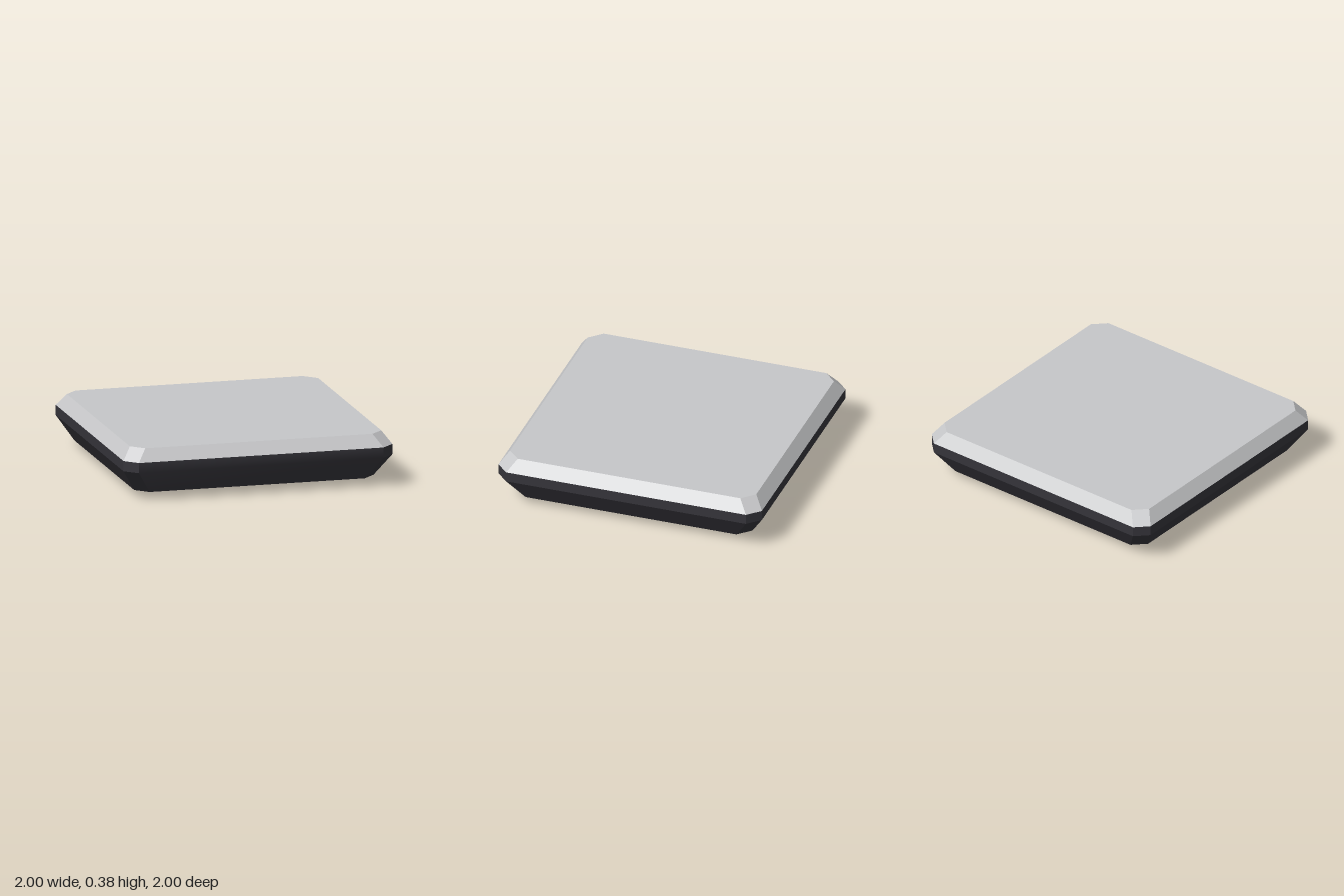
import * as THREE from 'three';

const lightGrey = new THREE.MeshStandardMaterial({ color: 0xc6c7c9 });
lightGrey.name = 'lightGrey';
const darkGrey = new THREE.MeshStandardMaterial({ color: 0x35343a });
darkGrey.name = 'darkGrey';

const CHAMFER = 0.09;
const ALL = [0, 1, 2, 3, 4, 5, 6, 7];
const FRONT = 2;
const SQUARE = [0, 2, 4, 6];

// Square outline of half-width h with cut corners of size c, as [x, z] points.
function outline(h, c) {
  const k = h - c;
  return [[h, -k], [h, k], [k, h], [-k, h], [-h, k], [-h, -k], [-k, -h], [k, -h]];
}

// Skin between rings [y, halfWidth], for the listed sides only.
function loft(rings, c, sides, smooth = false) {
  const pos = [], index = [];
  for (const s of sides) {
    const base = pos.length / 3;
    rings.forEach(([y, h], r) => {
      const pts = outline(h, c);
      for (const [x, z] of [pts[s], pts[(s + 1) % 8]]) pos.push(x, y, z);
      if (r === 0) return;
      const a = base + 2 * (r - 1);
      index.push(a, a + 2, a + 1, a + 1, a + 2, a + 3);
    });
  }
  let geo = new THREE.BufferGeometry();
  geo.setAttribute('position', new THREE.Float32BufferAttribute(pos, 3));
  geo.setIndex(index);
  if (!smooth) geo = geo.toNonIndexed();
  geo.computeVertexNormals();
  return geo;
}

// Horizontal plate facing up or down, with an optional square hole.
function plate(y, h, c, up, hole = 0) {
  const toVectors = (pts) => pts.map(([x, z]) => new THREE.Vector2(x, z));
  const shape = new THREE.Shape(toVectors(c ? outline(h, c) : [[h, -h], [h, h], [-h, h], [-h, -h]]));
  if (hole) {
    shape.holes.push(new THREE.Path(toVectors([[hole, -hole], [-hole, -hole], [-hole, hole], [hole, hole]])));
  }
  return new THREE.ShapeGeometry(shape).rotateX(up ? -Math.PI / 2 : Math.PI / 2).translate(0, y, 0);
}

export function createModel() {
  const model = new THREE.Group();
  model.name = 'chamferedTile';
  const add = (name, geo, material) => {
    const mesh = new THREE.Mesh(geo, material);
    mesh.name = name;
    model.add(mesh);
  };

  // Light cap with a bevelled edge
  add('topPanel', plate(0.385, 0.935, CHAMFER, true), lightGrey);
  add('topBevel', loft([[0.295, 1], [0.385, 0.935]], CHAMFER, ALL), lightGrey);

  // Dark body; the front blends softly, the other sides are faceted
  const body = [[0.05, 0.89], [0.22, 1], [0.295, 1]];
  add('bodySides', loft(body, CHAMFER, ALL.filter((s) => s !== FRONT)), darkGrey);
  add('bodyFront', loft(body, CHAMFER, [FRONT], true), darkGrey);

  // Underside rim and shallow recess
  add('bottomRim', plate(0.05, 0.89, CHAMFER, false, 0.8), lightGrey);
  add('recessBevel', loft([[0.08, 0.74], [0.05, 0.8]], 0, SQUARE), lightGrey);
  add('recessFloor', plate(0.08, 0.74, 0, false, 0.59), darkGrey);

  // Tapered foot
  add('footSides', loft([[0, 0.54], [0.08, 0.59]], 0, SQUARE), lightGrey);
  add('footBase', plate(0, 0.54, 0, false), lightGrey);

  return model;
}
